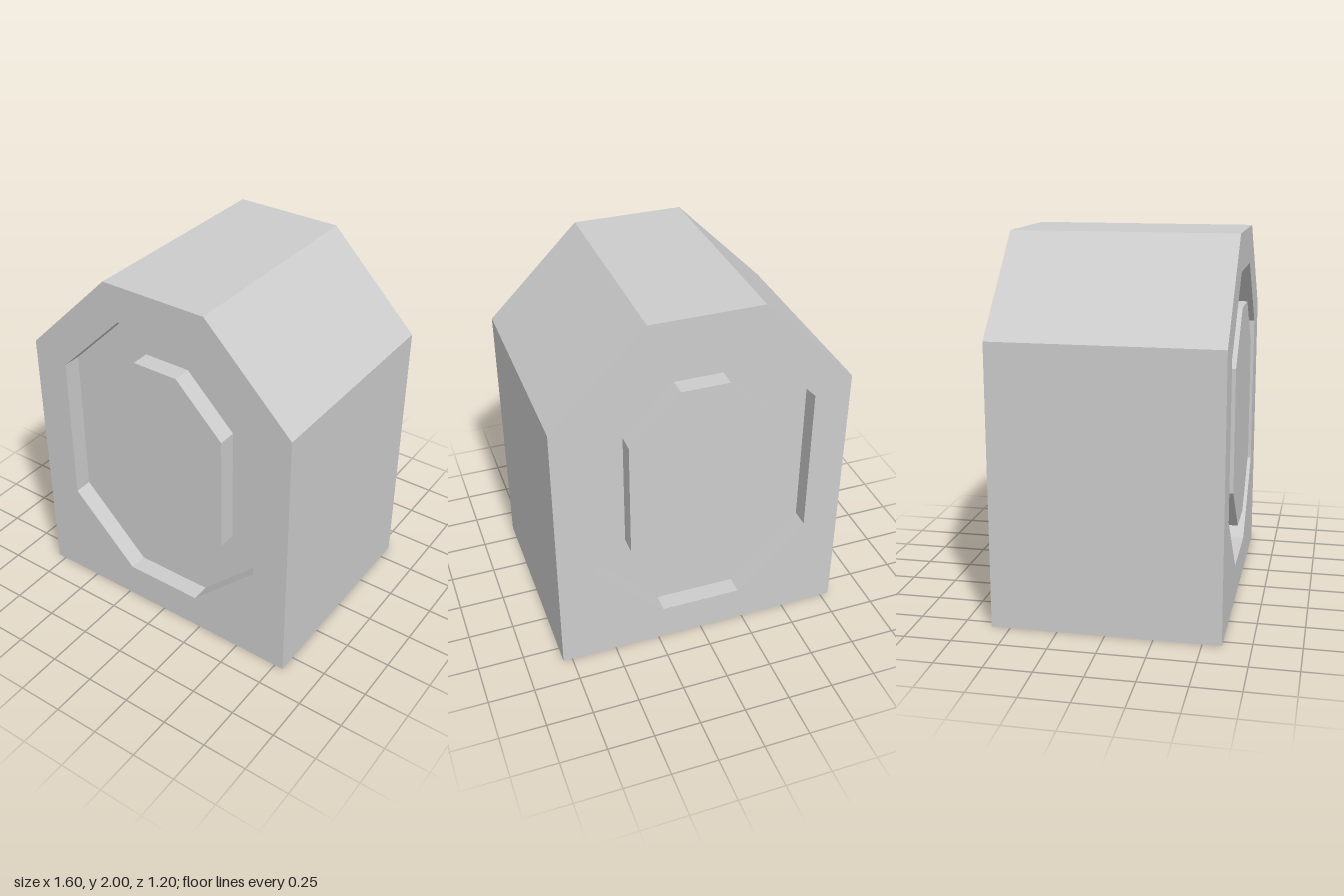
import * as THREE from 'three';

const HALF_DEPTH = 0.6;
const GROOVE = 0.1;

const grey = new THREE.MeshStandardMaterial({ color: 0xcccccc, side: THREE.DoubleSide });
grey.name = 'plain grey';

function part(name, geometry) {
  const mesh = new THREE.Mesh(geometry, grey);
  mesh.name = name;
  return mesh;
}

// Flat-shaded wall following a profile from z0 back to z1
function wall(points, z0, z1, closed) {
  const pos = [];
  const n = closed ? points.length : points.length - 1;
  for (let i = 0; i < n; i++) {
    const [px, py] = points[i];
    const [qx, qy] = points[(i + 1) % points.length];
    pos.push(px, py, z0, px, py, z1, qx, qy, z1);
    pos.push(px, py, z0, qx, qy, z1, qx, qy, z0);
  }
  const g = new THREE.BufferGeometry();
  g.setAttribute('position', new THREE.Float32BufferAttribute(pos, 3));
  g.computeVertexNormals();
  return g;
}

// Flat plate, optionally with a hole
function plate(points, hole, z) {
  const toV = (p) => new THREE.Vector2(p[0], p[1]);
  const shape = new THREE.Shape(points.map(toV));
  if (hole) shape.holes.push(new THREE.Path(hole.map(toV)));
  return new THREE.ShapeGeometry(shape).translate(0, 0, z);
}

// Upright octagon centred at y = 1, counter-clockwise
function octagon(w, h, cut) {
  const right = [[w - cut, 1 - h], [w, 1 - h + cut], [w, 1 + h - cut], [w - cut, 1 + h]];
  return [...right, ...right.map(([x, y]) => [-x, y]).reverse()];
}

export function createModel() {
  const model = new THREE.Group();
  model.name = 'housing';

  // Sides, slopes and top; the underside is open
  const outline = [[0.8, 0], [0.8, 1.5], [0.3, 2], [-0.3, 2], [-0.8, 1.5], [-0.8, 0]];
  model.add(part('outerShell', wall(outline, HALF_DEPTH, -HALF_DEPTH, false)));

  // Matching front and back faces, each with an octagonal groove
  const outer = octagon(0.6, 0.8, 0.38);
  const inner = octagon(0.4, 0.6, 0.27);
  const floor = HALF_DEPTH - GROOVE;
  for (const side of ['front', 'back']) {
    const face = new THREE.Group();
    face.name = side + 'Face';
    face.add(
      part('facePlate', plate(outline, outer, HALF_DEPTH)),
      part('grooveOuterWall', wall([...outer].reverse(), HALF_DEPTH, floor, true)),
      part('grooveFloor', plate(outer, inner, floor)),
      part('grooveInnerWall', wall(inner, HALF_DEPTH, floor, true)),
      part('centrePanel', plate(inner, null, HALF_DEPTH)),
    );
    // Small flat tabs on the bottom edge
    for (const x of [-0.5, 0.5]) {
      const tab = part('bottomTab', new THREE.PlaneGeometry(0.2, GROOVE).rotateX(Math.PI / 2));
      tab.position.set(x, 0, HALF_DEPTH - GROOVE / 2);
      face.add(tab);
    }
    if (side === 'back') face.rotation.y = Math.PI;
    model.add(face);
  }
  return model;
}
